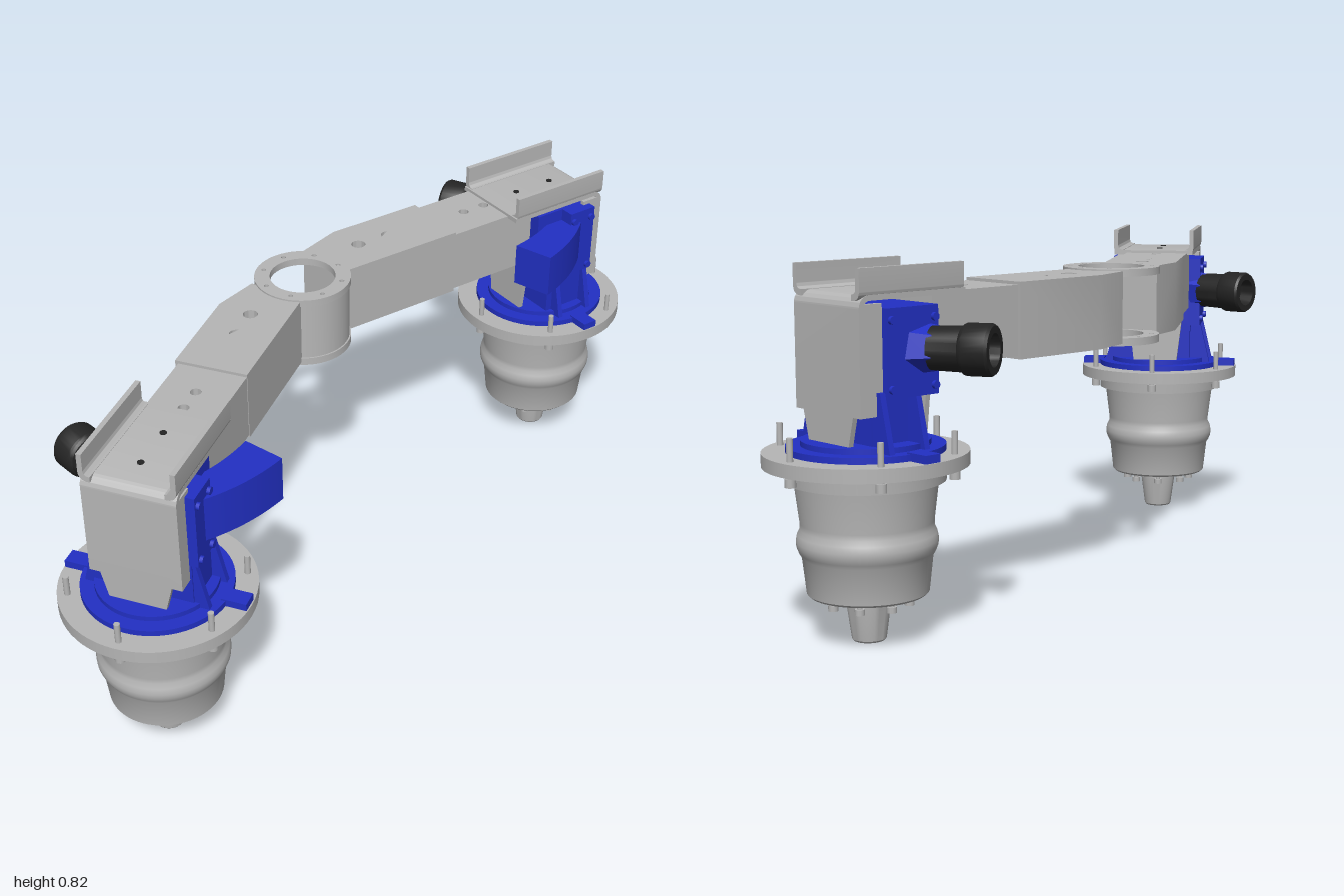
import * as THREE from 'three';
import { toCreasedNormals } from 'three/addons/utils/BufferGeometryUtils.js';

const ANGLE = THREE.MathUtils.degToRad(18);   // sweep of each arm
const POD = new THREE.Vector3(0.777, 0, 0.053);
const HUB_Z = -0.158;

function material(name, color, side = THREE.FrontSide) {
  const m = new THREE.MeshStandardMaterial({ color, side });
  m.name = name;
  return m;
}

function add(parent, name, geometry, mat, x = 0, y = 0, z = 0) {
  const mesh = new THREE.Mesh(geometry, mat);
  mesh.name = name;
  mesh.position.set(x, y, z);
  parent.add(mesh);
  return mesh;
}

const polygon = (pts) => new THREE.Shape(pts.map(([x, y]) => new THREE.Vector2(x, y)));
const extrude = (shape, depth) =>
  toCreasedNormals(new THREE.ExtrudeGeometry(shape, { depth, bevelEnabled: false, curveSegments: 24 }), 0.6);
// horizontal plate drawn in (x, z), between two heights
const slab = (shape, y0, y1) => extrude(shape, y1 - y0).rotateX(Math.PI / 2).translate(0, y1, 0);
const lathe = (pts, n = 48) =>
  toCreasedNormals(new THREE.LatheGeometry(pts.map(([r, y]) => new THREE.Vector2(r, y)), n), 0.5);
const rod = (r, y0, y1, n = 12) => new THREE.CylinderGeometry(r, r, y1 - y0, n).translate(0, (y0 + y1) / 2, 0);
const block = (x0, x1, y0, y1, z0, z1) =>
  new THREE.BoxGeometry(x1 - x0, y1 - y0, z1 - z0).translate((x0 + x1) / 2, (y0 + y1) / 2, (z0 + z1) / 2);

function punch(shape, x, y, r) {
  shape.holes.push(new THREE.Path().absarc(x, y, r, 0, Math.PI * 2, true));
}

// mirrored copy across x with the face winding corrected
function mirrored(source, name) {
  const out = new THREE.Group();
  out.name = name;
  source.updateMatrixWorld(true);
  const flip = new THREE.Matrix4().makeScale(-1, 1, 1);
  source.traverse((o) => {
    if (!o.isMesh) return;
    const g = (o.geometry.index ? o.geometry.toNonIndexed() : o.geometry.clone())
      .applyMatrix4(o.matrixWorld).applyMatrix4(flip);
    for (const { array, itemSize: s } of Object.values(g.attributes)) {
      for (let i = 0; i < array.length; i += 3 * s) {
        for (let k = 0; k < s; k++) {
          const t = array[i + s + k];
          array[i + s + k] = array[i + 2 * s + k];
          array[i + 2 * s + k] = t;
        }
      }
    }
    add(out, o.name, g, o.material);
  });
  return out;
}

function buildCup(pod, steel) {
  add(pod, 'cup', lathe([
    [0, 0.105], [0.128, 0.105], [0.133, 0.11], [0.142, 0.19], [0.148, 0.2], [0.153, 0.213], [0.154, 0.225],
    [0.151, 0.24], [0.145, 0.252], [0.145, 0.265], [0.156, 0.355], [0.172, 0.355], [0.174, 0.39],
  ], 64), steel);
  add(pod, 'flange', rod(0.2235, 0.39, 0.42, 64), steel);
  add(pod, 'spout', lathe([[0, 0.012], [0.018, 0.012], [0.02, 0], [0.035, 0], [0.038, 0.004],
    [0.049, 0.085], [0.052, 0.085], [0.052, 0.106]], 32), steel);
  for (let i = 0; i < 6; i++) {
    const a = (i * Math.PI) / 3, c = Math.cos(a), s = Math.sin(a);
    add(pod, 'flangeBoltHead', rod(0.012, 0.366, 0.385), steel, 0.2 * c, 0, 0.2 * s);
    add(pod, 'flangeStud', rod(0.007, 0.38, 0.47), steel, 0.2 * c, 0, 0.2 * s);
  }
  for (let i = 0; i < 8; i++) {
    const a = (i * Math.PI) / 4 + 0.1;
    add(pod, 'spoutBoltHead', rod(0.011, 0.079, 0.092), steel, 0.09 * Math.cos(a), 0, 0.09 * Math.sin(a));
    add(pod, 'spoutBoltShank', rod(0.006, 0.09, 0.107), steel, 0.09 * Math.cos(a), 0, 0.09 * Math.sin(a));
  }
}

function buildBracket(pod, steel, dark) {
  // bent top plate and outer leg
  const bend = new THREE.Shape();
  bend.moveTo(-0.19, 0.764).lineTo(0.072, 0.764);
  bend.absarc(0.072, 0.736, 0.028, Math.PI / 2, 0, true);
  bend.lineTo(0.1, 0.51).lineTo(0.088, 0.51).lineTo(0.088, 0.736);
  bend.absarc(0.072, 0.736, 0.016, 0, Math.PI / 2, false);
  bend.lineTo(-0.19, 0.752);
  add(pod, 'bracketPlate', extrude(bend, 0.22).translate(0, 0, -0.11), steel);
  const foot = polygon([[-0.085, 0.512], [0.085, 0.512], [0.065, 0.433], [-0.065, 0.433]]);
  add(pod, 'outerFoot', extrude(foot, 0.012).rotateY(Math.PI / 2).translate(0.088, 0, 0), steel);
  add(pod, 'innerFoot', extrude(polygon([[-0.08, 0.6], [0.08, 0.6], [0.06, 0.433], [-0.06, 0.433]]), 0.012)
    .rotateY(Math.PI / 2).translate(-0.12, 0, 0), steel);
  for (const s of [-1, 1]) {
    add(pod, 'bracketCheek', block(0.04, 0.092, 0.51, 0.745, s * 0.104 - 0.006, s * 0.104 + 0.006), steel);
    const rail = new THREE.Shape();
    rail.moveTo(s * 0.085, 0.752).lineTo(s * 0.092, 0.752);
    rail.quadraticCurveTo(s * 0.112, 0.754, s * 0.112, 0.776);
    rail.lineTo(s * 0.112, 0.82).lineTo(s * 0.1, 0.82).lineTo(s * 0.1, 0.778);
    rail.quadraticCurveTo(s * 0.1, 0.766, s * 0.085, 0.765);
    add(pod, 'topRail', extrude(rail, 0.285).rotateY(-Math.PI / 2).translate(0.1, 0, 0), steel);
    add(pod, 'plateHole', rod(0.008, 0.764, 0.766), dark, -0.04 + s * 0.056, 0, -0.008);
  }
}

function buildGearbox(pod, blue) {
  add(pod, 'mountingDisk', rod(0.172, 0.42, 0.434, 64), blue);
  add(pod, 'innerDisk', rod(0.14, 0.43, 0.446, 48), blue);
  for (const s of [-1, 1]) {
    add(pod, 'diskLug', block(-0.02, 0.02, 0.42, 0.438, s * 0.19 - 0.03, s * 0.19 + 0.03), blue);
    // side ribs spreading towards the disk
    for (const u of [-0.045, 0.05]) {
      const rib = polygon([[0.1 * s, 0.56], [0.12 * s, 0.56], [0.15 * s, 0.434], [0.08 * s, 0.434]]);
      add(pod, 'sideRib', extrude(rib, 0.014).rotateY(-Math.PI / 2).translate(u + 0.007, 0, 0), blue);
    }
  }
  add(pod, 'pedestal', block(-0.07, 0.06, 0.43, 0.57, -0.095, 0.115), blue);
  add(pod, 'gearHousing', block(-0.1, 0.06, 0.55, 0.735, -0.095, 0.095), blue);
  add(pod, 'frontPlate', block(-0.02, 0.06, 0.55, 0.735, 0.09, 0.132), blue);
  add(pod, 'rearPlate', block(-0.1, 0.04, 0.545, 0.735, -0.125, -0.09), blue);
  for (const y of [0.565, 0.71]) {
    for (const [u, v] of [[-0.008, 0.132], [0.048, 0.132], [-0.088, -0.125], [0.028, -0.125]]) {
      add(pod, 'plateScrew', new THREE.CylinderGeometry(0.009, 0.009, 0.016, 12).rotateX(Math.PI / 2), blue, u, y, v);
    }
  }
}

export function createModel() {
  const steel = material('light grey metal', 0xb6b6b6);
  const shell = material('light grey sheet', 0xb6b6b6, THREE.DoubleSide);
  const blue = material('blue paint', 0x2230c4);
  const black = material('black plastic', 0x242424);

  const model = new THREE.Group();
  model.name = 'twinPodArm';

  // central hub: two rings joined by a curved front wall, open at the back
  const ring = new THREE.Shape().absarc(0, HUB_Z, 0.119, 0, Math.PI * 2);
  punch(ring, 0, HUB_Z, 0.081);
  for (let i = 0; i < 8; i++) {
    const a = ((i + 0.5) * Math.PI) / 4;
    punch(ring, 0.1 * Math.cos(a), HUB_Z + 0.1 * Math.sin(a), 0.006);
  }
  add(model, 'hubTopRing', slab(ring, 0.75, 0.768), steel);
  add(model, 'hubBottomRing', slab(ring, 0.583, 0.602), steel);
  add(model, 'hubWall', new THREE.CylinderGeometry(0.115, 0.115, 0.165, 32, 1, true, -Math.PI / 2, Math.PI),
    shell, 0, 0.676, HUB_Z);

  const half = new THREE.Group();
  half.name = 'leftArm';

  // inner arm section
  const inner = polygon([[0.1, -0.236], [0.22, -0.236], [0.465, -0.155], [0.41, 0.014], [0.09, -0.09]]);
  punch(inner, 0.21, -0.147, 0.018);
  punch(inner, 0.295, -0.117, 0.018);
  add(half, 'innerArm', slab(inner, 0.59, 0.764), steel);

  // pod with its bracket, turned to follow the arm
  const pod = new THREE.Group();
  pod.name = 'pod';
  pod.position.copy(POD);
  pod.rotation.y = -ANGLE;
  half.add(pod);
  const outer = polygon([[-0.37, -0.094], [-0.11, -0.094], [-0.11, 0.075], [-0.37, 0.075]]);
  punch(outer, -0.27, -0.01, 0.013);
  punch(outer, -0.205, -0.01, 0.013);
  add(pod, 'outerArm', slab(outer, 0.597, 0.757), steel);
  buildCup(pod, steel);
  buildBracket(pod, steel, black);
  buildGearbox(pod, blue);

  // curved front arm of the gear housing
  const horn = new THREE.Shape();
  horn.moveTo(0.54, 0.118).lineTo(0.54, 0.222);
  horn.quadraticCurveTo(0.66, 0.226, 0.76, 0.18);
  horn.lineTo(0.735, 0.11);
  horn.quadraticCurveTo(0.64, 0.135, 0.54, 0.118);
  add(half, 'frontHorn', slab(horn, 0.592, 0.703), blue);

  // rear motor and its six-sided collar
  const motor = new THREE.Group();
  motor.name = 'motor';
  motor.position.set(0.756, 0.645, -0.06);
  motor.quaternion.setFromUnitVectors(new THREE.Vector3(0, 1, 0), new THREE.Vector3(-0.175, 0, -0.985).normalize());
  half.add(motor);
  add(motor, 'motorCollar', new THREE.CylinderGeometry(0.048, 0.058, 0.06, 6).toNonIndexed(), blue, 0, 0.022, 0);
  motor.children[0].geometry.computeVertexNormals();
  add(motor, 'motorBody', lathe([[0, 0.04], [0.047, 0.04], [0.049, 0.11], [0.054, 0.115], [0.056, 0.12],
    [0.056, 0.172], [0.052, 0.178], [0.036, 0.178], [0.034, 0.14], [0, 0.14]], 32), black);

  const other = mirrored(half, 'rightArm');
  model.add(half, other);
  return model;
}
